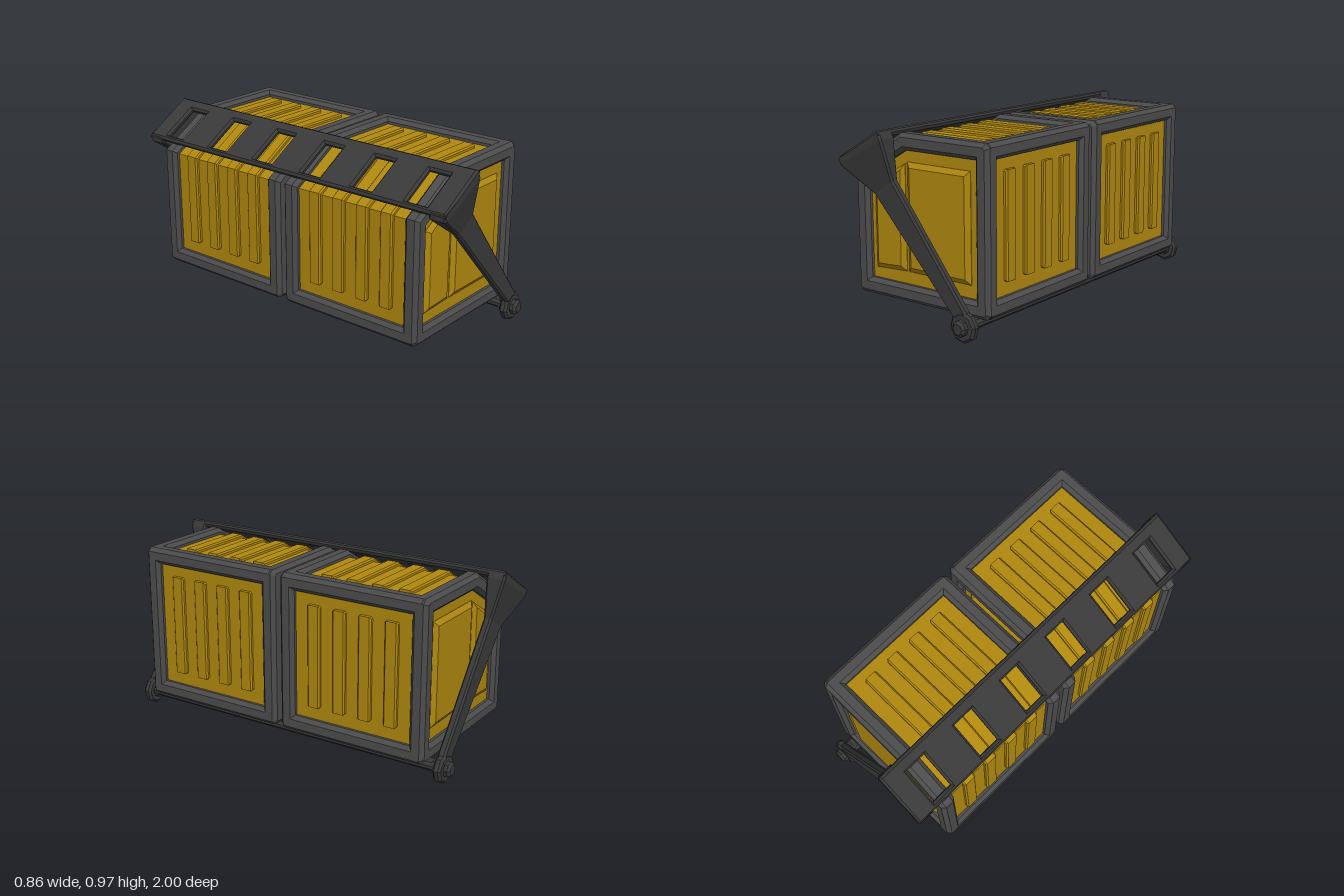
import * as THREE from 'three';

const yellow = new THREE.MeshStandardMaterial({ color: 0xb0880f, flatShading: true });
const frameGrey = new THREE.MeshStandardMaterial({ color: 0x4c4c4c, flatShading: true });
const darkGrey = new THREE.MeshStandardMaterial({ color: 0x393939, flatShading: true });

const toPoints = (pts) => pts.map(([x, y]) => new THREE.Vector2(x, y));
const rect = (x0, y0, x1, y1) => [[x0, y0], [x1, y0], [x1, y1], [x0, y1]];
const chamferedRect = (x0, y0, x1, y1, c) => [
  [x0 + c, y0], [x1 - c, y0], [x1, y0 + c], [x1, y1 - c],
  [x1 - c, y1], [x0 + c, y1], [x0, y1 - c], [x0, y0 + c],
];

// Extrusion centred on z, bevelled inside its outline
function slab(pts, depth, bevel = 0, thickness = bevel, holes = []) {
  const shape = new THREE.Shape(toPoints(pts));
  holes.forEach((h) => shape.holes.push(new THREE.Path(toPoints(h))));
  const core = depth - 2 * thickness;
  const geo = new THREE.ExtrudeGeometry(shape, {
    depth: core, bevelEnabled: bevel > 0, bevelSegments: 1,
    bevelSize: bevel, bevelOffset: -bevel, bevelThickness: thickness,
  });
  return geo.translate(0, 0, -core / 2);
}

// Mirrored copy across z = 0 with corrected winding
function mirrorZ(source) {
  const geo = source.index ? source.toNonIndexed() : source.clone();
  const p = geo.attributes.position;
  for (let i = 0; i < p.count; i += 3) {
    const v = [0, 2, 1].map((k) => [p.getX(i + k), p.getY(i + k), -p.getZ(i + k)]);
    v.forEach((c, k) => p.setXYZ(i + k, ...c));
  }
  geo.computeVertexNormals();
  return geo;
}

function add(parent, name, geo, material) {
  const mesh = new THREE.Mesh(geo, material);
  mesh.name = name;
  parent.add(mesh);
  return mesh;
}

// Container end outline inset by d, with one slanted upper corner
const slantTop = (d) => [-0.12 + 0.275 * d, 0.955 - d];
const slantLow = (d) => [-0.43 + d, 0.77 - 0.568 * d];
function outline(d, c = 0) {
  const x = 0.43 - d, y0 = 0.105 + d, y1 = 0.955 - d;
  return [[-x + c, y0], [x - c, y0], [x, y0 + c], [x, y1 - c], [x - c, y1],
    slantTop(d), slantLow(d), [-x, y0 + c]]
    .filter((q, i, all) => i === 0 || q[0] !== all[i - 1][0] || q[1] !== all[i - 1][1])
    .filter((q, i, all) => i === 0 || q[0] !== all[0][0] || q[1] !== all[0][1]);
}

const LENGTH = 0.85, BAR = 0.085, RECESS = 0.035;

function createContainer() {
  const box = new THREE.Group();

  // Yellow body and its end embossing
  add(box, 'body', slab(outline(RECESS), LENGTH - 2 * RECESS), yellow);
  const embossings = [
    [[-0.1, 0.255], [0.3, 0.255], [0.3, 0.81], [-0.1, 0.81]],
    [[-0.32, 0.245], [-0.115, 0.255], [-0.115, 0.8], [-0.32, 0.68]],
  ];
  embossings.forEach((pts) => {
    const geo = slab(pts, 0.04, 0.026, 0.018).translate(0, 0, LENGTH / 2 - RECESS);
    add(box, 'endEmbossing', geo, yellow);
    add(box, 'endEmbossing', mirrorZ(geo), yellow);
  });

  // Ribs: straight on one side, wrapped over the slanted corner on the other
  const hi = RECESS - 0.02, lo = RECESS + 0.02;
  const wrapped = [
    [-0.43 + lo, 0.26], [-0.43 + hi, 0.26], slantLow(hi), slantTop(hi),
    [0.29, 0.955 - hi], [0.29, 0.955 - lo], slantTop(lo), slantLow(lo),
  ].reverse();
  const straight = rect(0.43 - lo, 0.26, 0.43 - hi, 0.81);
  for (let i = 0; i < 4; i++) {
    const z = (i - 1.5) * 0.15;
    add(box, 'wrappedRib', slab(wrapped, 0.074, 0.008).translate(0, 0, z), yellow);
    add(box, 'sideRib', slab(straight, 0.074, 0.008).translate(0, 0, z), yellow);
  }

  // End rims
  for (const s of [-1, 1]) {
    const rim = slab(outline(0, 0.022), BAR, 0.02, 0.02, [outline(BAR)]);
    add(box, 'endRim', rim.translate(0, 0, s * (LENGTH - BAR) / 2), frameGrey);
  }

  // Lengthwise frame bars
  for (const [x, y] of [[-0.43, 0.105], [0.43 - BAR, 0.105], [0.43 - BAR, 0.955 - BAR]]) {
    const bar = slab(chamferedRect(x, y, x + BAR, y + BAR, 0.02), LENGTH - 0.06);
    add(box, 'frameBar', bar, frameGrey);
  }
  return box;
}

// Loft of chamfered rectangular sections: left point, right point, z range
function loft(sections, c) {
  const rings = sections.map(([l, r, z0, z1]) => {
    const w = Math.hypot(r[0] - l[0], r[1] - l[1]);
    return chamferedRect(0, z0, w, z1, c).map(([u, z]) => [
      l[0] + (r[0] - l[0]) * u / w, l[1] + (r[1] - l[1]) * u / w, z,
    ]);
  });
  const n = 8, verts = [];
  const tri = (a, b, d) => verts.push(...a, ...b, ...d);
  for (let s = 0; s + 1 < rings.length; s++) {
    const A = rings[s], B = rings[s + 1];
    for (let i = 0; i < n; i++) {
      const j = (i + 1) % n;
      tri(A[i], A[j], B[i]);
      tri(A[j], B[j], B[i]);
    }
  }
  const first = rings[0], last = rings[rings.length - 1];
  for (let i = 1; i < n - 1; i++) {
    tri(first[0], first[i + 1], first[i]);
    tri(last[0], last[i], last[i + 1]);
  }
  const geo = new THREE.BufferGeometry();
  geo.setAttribute('position', new THREE.Float32BufferAttribute(verts, 3));
  geo.computeVertexNormals();
  return geo;
}

export function createModel() {
  const model = new THREE.Group();
  model.name = 'twinContainerCarrier';

  for (const s of [1, -1]) {
    const box = createContainer();
    box.name = s > 0 ? 'frontContainer' : 'backContainer';
    box.position.z = s * (LENGTH / 2 + 0.015);
    model.add(box);
  }

  // Slotted plate lying along the slanted corners
  const slots = [];
  for (let i = 0; i < 6; i++) {
    const z = (i - 2.5) * 0.327;
    slots.push(rect(-0.123, z - 0.06, 0.087, z + 0.06));
  }
  const plate = slab(rect(-0.157, -1, 0.157, 1), 0.036, 0.012, 0.012, slots);
  const across = new THREE.Vector3(0.859, 0.512, 0).normalize();
  const along = new THREE.Vector3(0, 0, -1);
  const normal = new THREE.Vector3().crossVectors(across, along);
  plate.applyMatrix4(new THREE.Matrix4().makeBasis(across, along, normal).setPosition(-0.265, 0.888, 0));
  add(model, 'slottedPlate', plate, darkGrey);

  // Flared arm reaching down to the hub
  const arm = loft([
    [[-0.402, 0.82], [-0.127, 0.966], 0.9, 1],
    [[-0.4, 0.785], [-0.115, 0.94], 0.9, 1],
    [[-0.215, 0.655], [-0.09, 0.735], 0.908, 0.952],
    [[0.285, 0.115], [0.36, 0.155], 0.908, 0.952],
  ], 0.01);

  // Eight-sided hub with bolt head
  const profile = [
    [0, 0.885], [0.04, 0.885], [0.042, 0.908], [0.066, 0.908], [0.079, 0.92], [0.079, 0.942],
    [0.066, 0.954], [0.042, 0.954], [0.042, 0.972], [0.027, 0.985], [0, 0.985],
  ];
  const hub = new THREE.LatheGeometry(toPoints(profile), 8)
    .rotateX(Math.PI / 2).rotateZ(0.12).translate(0.337, 0.082, 0);

  for (const [name, geo] of [['arm', arm], ['hub', hub]]) {
    add(model, name + 'Front', geo, darkGrey);
    add(model, name + 'Back', mirrorZ(geo), darkGrey);
  }

  // Lower bar joining the hubs
  add(model, 'lowerBar', slab(chamferedRect(0.297, 0.063, 0.377, 0.107, 0.014), 1.84), darkGrey);
  return model;
}
